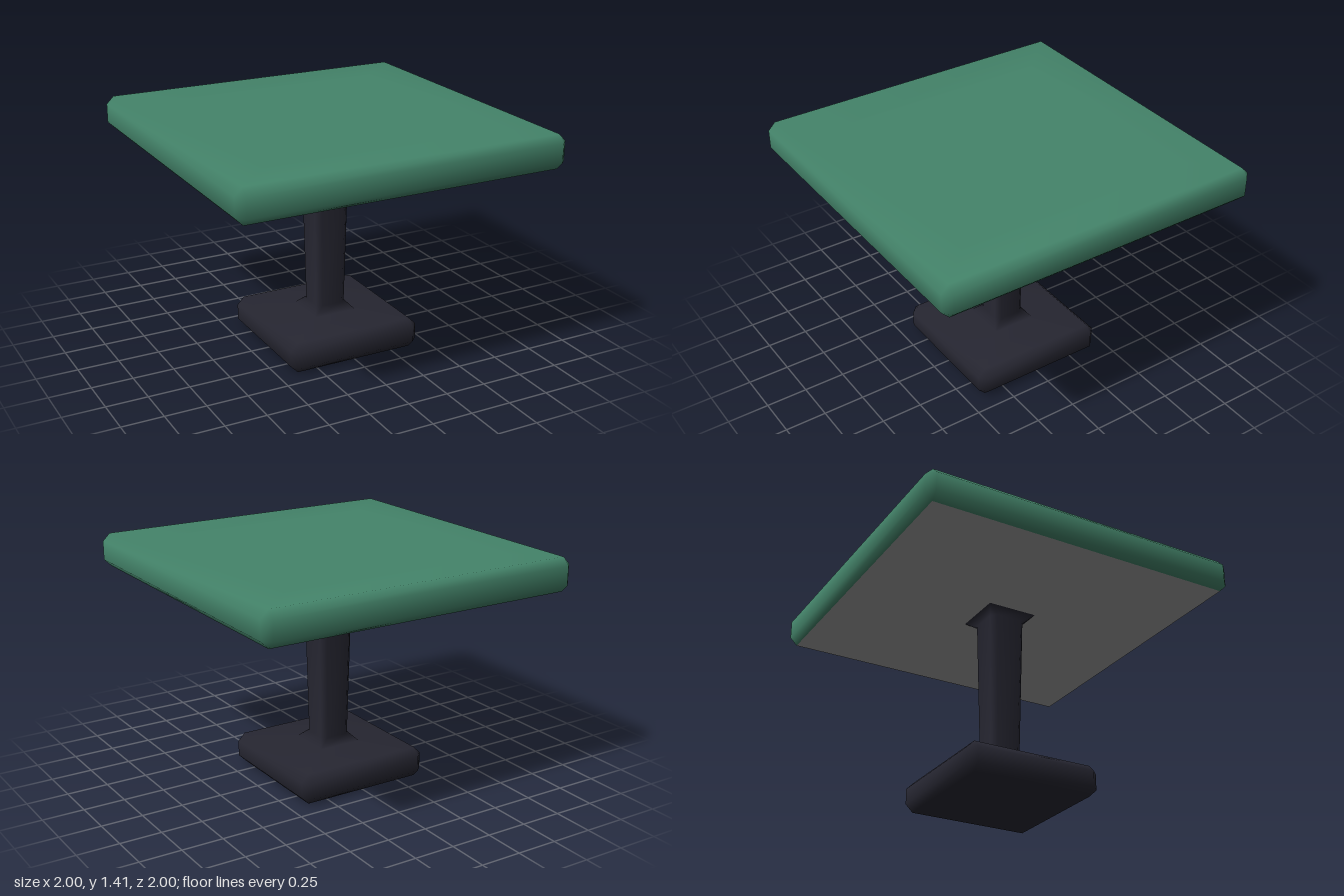
import * as THREE from 'three';
import { mergeVertices } from 'three/addons/utils/BufferGeometryUtils.js';

// Lofts square rings [half width, corner cut, y], from bottom to top.
// materialAt(i) picks the material slot for the band above ring i.
function squareLoft(rings, materialAt = () => 0) {
  const positions = [], index = [];
  const geometry = new THREE.BufferGeometry();
  for (const [h, cut, y] of rings) {
    const k = h - cut;
    const outline = [[h, -k], [h, k], [k, h], [-k, h], [-h, k], [-h, -k], [-k, -h], [k, -h]];
    for (const [x, z] of outline) positions.push(x, y, z);
  }
  for (let i = 0; i < rings.length - 1; i++) {
    geometry.addGroup(index.length, 48, materialAt(i));
    for (let j = 0; j < 8; j++) {
      const a = i * 8 + j, b = i * 8 + (j + 1) % 8;
      index.push(a, a + 8, b, b, a + 8, b + 8);
    }
  }
  geometry.setAttribute('position', new THREE.Float32BufferAttribute(positions, 3));
  geometry.setIndex(index);
  const merged = mergeVertices(geometry, 1e-4);
  merged.computeVertexNormals();
  return merged;
}

function material(name, color) {
  const m = new THREE.MeshStandardMaterial({ color });
  m.name = name;
  return m;
}

export function createModel() {
  const model = new THREE.Group();
  model.name = 'pedestalTable';
  const green = material('green top', 0x44846a);
  const grey = material('grey underside', 0x9c9c9c);
  const dark = material('dark pedestal', 0x262631);

  // Bevelled top, with a grey underside as its first two bands
  const top = new THREE.Mesh(squareLoft([
    [0, 0, 1.21],
    [0.155, 0, 1.21],
    [0.955, 0, 1.21],
    [1, 0.045, 1.255],
    [1, 0.045, 1.368],
    [0.955, 0, 1.413],
    [0.68, 0, 1.413],
    [0, 0, 1.413],
  ], i => (i < 2 ? 1 : 0)), [green, grey]);
  top.name = 'tableTop';

  // Foot, flared post and upper flange in one smooth loft
  const pedestal = new THREE.Mesh(squareLoft([
    [0, 0, 0],
    [0.375, 0, 0],
    [0.42, 0.045, 0.045],
    [0.42, 0.045, 0.14],
    [0.375, 0, 0.185],
    [0.135, 0, 0.198],
    [0.095, 0.03, 0.245],
    [0.113, 0.03, 1.17],
    [0.157, 0, 1.209],
  ]), dark);
  pedestal.name = 'pedestal';

  model.add(top, pedestal);
  return model;
}
